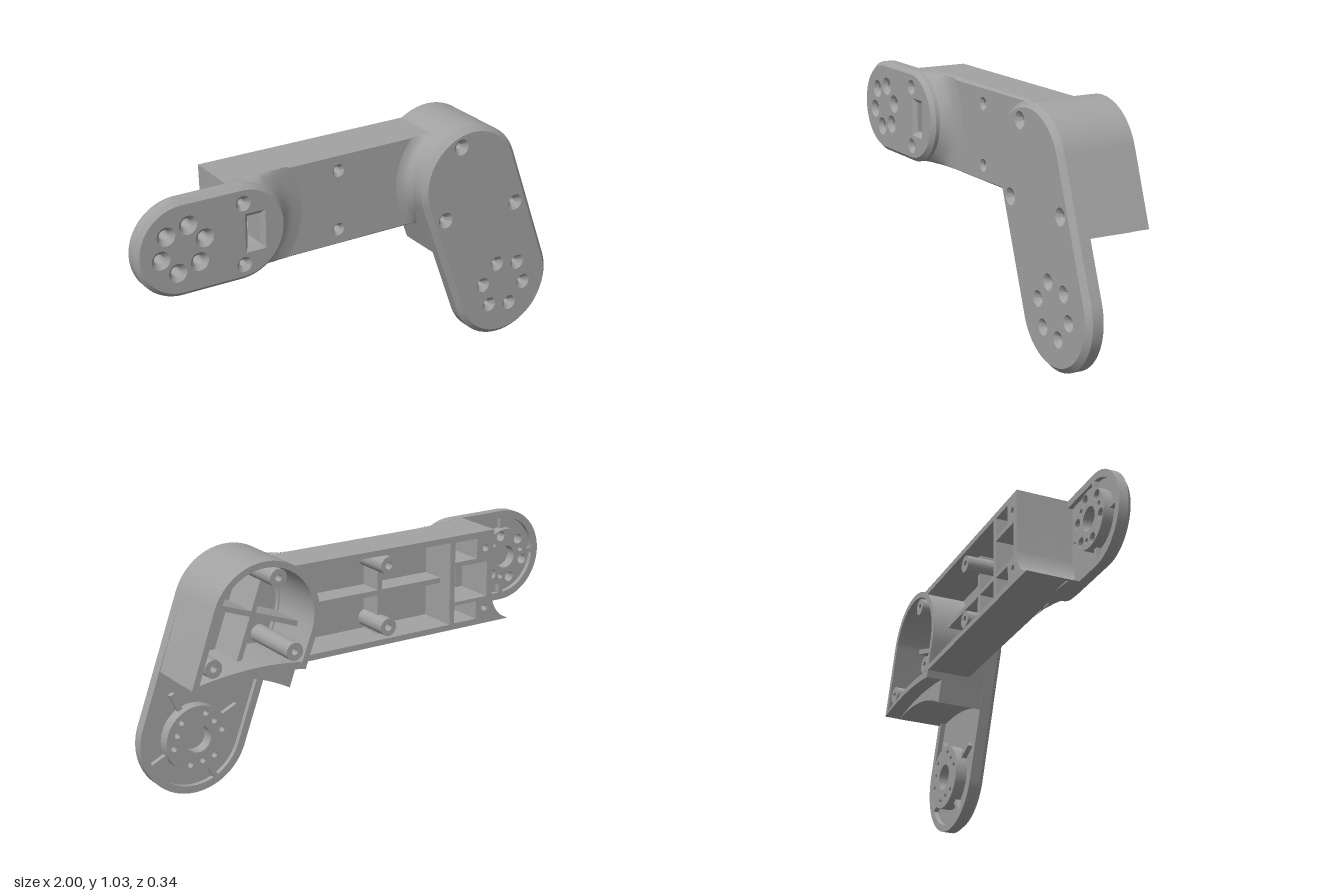
import * as THREE from 'three';
import { toCreasedNormals } from 'three/addons/utils/BufferGeometryUtils.js';

const grey = new THREE.MeshStandardMaterial({ color: 0xa2a2a2 });
grey.name = 'machined grey';

// Main joint centres and directions of the tilted link
const A = [0.555, 0.787], B = [0.75, 0.251], R = 0.247;
const n = [0.94, 0.342], d = [0.342, -0.94];
const L = [-0.795, 0.79], L2 = [-0.53, 0.79], RL = 0.205;

const circle = (x, y, r) => new THREE.Path().absarc(x, y, r, 0, Math.PI * 2, true);
const rect = (x0, y0, x1, y1) => new THREE.Path(
  [[x0, y0], [x0, y1], [x1, y1], [x1, y0]].map(p => new THREE.Vector2(...p)));
const ringOfHoles = (c, r, count, start, hole) => Array.from({ length: count }, (_, i) => {
  const a = (start + i * 360 / count) * Math.PI / 180;
  return [c[0] + r * Math.cos(a), c[1] + r * Math.sin(a), hole];
});

// Rounded slot outline between two centres
function stadium(p, q, r, Type = THREE.Shape) {
  const a = Math.atan2(q[1] - p[1], q[0] - p[0]);
  const s = new Type();
  s.absarc(q[0], q[1], r, a - Math.PI / 2, a + Math.PI / 2, false);
  s.absarc(p[0], p[1], r, a + Math.PI / 2, a + Math.PI * 1.5, false);
  s.closePath();
  return s;
}

function add(group, name, geometry) {
  const mesh = new THREE.Mesh(geometry, grey);
  mesh.name = name;
  group.add(mesh);
}

function slab(group, name, shape, z0, z1, holes = []) {
  shape.holes.push(...holes);
  const g = new THREE.ExtrudeGeometry(shape, { depth: z1 - z0, bevelEnabled: false, curveSegments: 28 });
  g.translate(0, 0, z0);
  add(group, name, toCreasedNormals(g, 0.5));
}

// Slab whose front edge and holes are chamfered by c
function chamferedSlab(group, name, makeShape, z0, z1, c, makeHoles) {
  slab(group, name, makeShape(), z0, z1 - c, makeHoles());
  const s = makeShape();
  s.holes.push(...makeHoles());
  const g = new THREE.ExtrudeGeometry(s, {
    depth: 0.002, bevelThickness: c, bevelSize: c, bevelOffset: -c, bevelSegments: 1, curveSegments: 28,
  });
  g.translate(0, 0, z1 - c - 0.002);
  add(group, name + 'Front', toCreasedNormals(g, 0.5));
}

function rib(group, name, p, q, z0, z1, w = 0.022) {
  const g = new THREE.BoxGeometry(Math.hypot(q[0] - p[0], q[1] - p[1]), w, z1 - z0);
  g.rotateZ(Math.atan2(q[1] - p[1], q[0] - p[0]));
  g.translate((p[0] + q[0]) / 2, (p[1] + q[1]) / 2, (z0 + z1) / 2);
  add(group, name, g);
}

function boss(group, p, z0, z1) {
  slab(group, 'screwBoss', new THREE.Shape().absarc(p[0], p[1], 0.038, 0, Math.PI * 2, false), z0, z1,
    [circle(p[0], p[1], p[2])]);
}

// Rim, pocket ribs and drilled hub on the back of a pad
function padBack(group, p, q, r, hub, hubR, z0, hubZ, floor, bolts, pins, startAngle, ribR) {
  slab(group, 'padRim', stadium(p, q, r), z0, floor + 0.002, [stadium(p, q, r - 0.032, THREE.Path)]);
  const disc = new THREE.Shape().absarc(hub[0], hub[1], hubR, 0, Math.PI * 2, false);
  slab(group, 'hubDisc', disc, hubZ, floor + 0.002,
    [circle(hub[0], hub[1], hubR * 0.4), ...bolts.concat(pins).map(h => circle(...h))]);
  for (let i = 0; i < 4; i++) {
    const a = (startAngle + i * 90) * Math.PI / 180, u = [Math.cos(a), Math.sin(a)];
    rib(group, 'padRib', hub.map((v, k) => v + u[k] * hubR * 0.96), hub.map((v, k) => v + u[k] * ribR),
      z0, floor + 0.002);
  }
}

// Blend between a pad and the arm face, trimmed to the arm's height
function blend(group, name, c, profile, phi) {
  const g = new THREE.LatheGeometry(profile.map(p => new THREE.Vector2(...p)), 40, phi, Math.PI);
  g.rotateX(Math.PI / 2).translate(c[0], c[1], 0);
  const pos = g.attributes.position;
  for (let i = 0; i < pos.count; i++) pos.setY(i, THREE.MathUtils.clamp(pos.getY(i), 0.588, 0.992));
  g.computeVertexNormals();
  add(group, name, g);
}

// Hollowed edge of the arm next to the small pad
function armEnd() {
  const s = new THREE.Shape();
  s.moveTo(-0.57, 0.995);
  s.lineTo(-0.563, 0.72);
  s.quadraticCurveTo(-0.567, 0.62, -0.655, 0.585);
  return s;
}

function armOutline() {
  const s = armEnd();
  [[0.375, 0.585], [0.34, 0.69], [0.322, 0.79], [0.35, 0.89], [0.42, 0.995]].forEach(p => s.lineTo(...p));
  return s;
}

// Upper housing outline, inset by t
function housing(t, Type = THREE.Shape) {
  const s = new Type(), a = Math.atan2(n[1], n[0]);
  const at = (x, y, k) => [x + (-k * n[0] - d[0]) * t, y + (-k * n[1] - d[1]) * t];
  s.moveTo(...at(0.895, 0.565, 1));
  s.absarc(A[0], A[1], R - t, a, a + Math.PI, false);
  const p = at(0.378, 0.555, -1);
  s.lineTo(...p);
  s.quadraticCurveTo(...at(0.63, 0.6, 0), ...at(0.895, 0.565, 1));
  return s;
}

export function createModel() {
  const model = new THREE.Group();
  model.name = 'jointLink';
  const part = name => {
    const g = new THREE.Group();
    g.name = name;
    model.add(g);
    return g;
  };
  const armScrews = [[-0.525, 0.92, 0.015], [-0.525, 0.655, 0.015], [-0.03, 0.92, 0.016], [-0.03, 0.655, 0.016]];
  const endScrews = armScrews.slice(0, 2), midScrews = armScrews.slice(2);
  const slot = () => rect(-0.5, 0.722, -0.443, 0.855);
  const paths = list => list.map(h => circle(...h));

  // Small pad
  const small = part('smallPad');
  const smallBolts = ringOfHoles(L, 0.1, 6, 15, 0.022);
  chamferedSlab(small, 'padPlate', () => stadium(L, L2, RL), 0.08, 0.12, 0.018,
    () => [...paths([...smallBolts, ...endScrews]), slot()]);
  padBack(small, L, L2, RL, L, 0.127, 0.06, 0.035, 0.08, smallBolts,
    ringOfHoles(L, 0.09, 3, 45, 0.012), 0, 0.185);

  // Arm
  const arm = part('arm');
  chamferedSlab(arm, 'armFace', armOutline, 0.005, 0.035, 0.012, () => [...paths(armScrews), slot()]);
  const seat = armEnd();
  seat.lineTo(L2[0], 0.585);
  seat.absarc(L2[0], L2[1], RL - 0.001, -Math.PI / 2, Math.PI / 2, false);
  slab(arm, 'padSeat', seat, 0.02, 0.085, [...paths(endScrews), slot()]);
  const endBlock = armEnd();
  endBlock.lineTo(-0.34, 0.585);
  endBlock.lineTo(-0.34, 0.995);
  slab(arm, 'endBlock', endBlock, -0.17, 0.01, [...paths(endScrews),
    rect(-0.48, 0.88, -0.365, 0.968), rect(-0.535, 0.705, -0.365, 0.86), rect(-0.48, 0.612, -0.365, 0.69)]);
  rib(arm, 'topWall', [-0.36, 0.9825], [0.42, 0.9825], -0.17, 0.01, 0.025);
  rib(arm, 'bottomWall', [-0.36, 0.5975], [0.375, 0.5975], -0.17, 0.01, 0.025);
  rib(arm, 'centreRib', [-0.345, 0.79], [0.325, 0.79], -0.1, 0.01);
  rib(arm, 'crossRib', [-0.03, 0.692], [-0.03, 0.883], -0.1, 0.01);
  for (const p of midScrews) {
    boss(arm, p, -0.165, 0.01);
    const up = p[1] > 0.79 ? 1 : -1;
    rib(arm, 'bossRib', [-0.03, p[1] + up * 0.036], [-0.03, 0.79 + up * 0.195], -0.1, 0.01);
  }
  blend(arm, 'smallPadBlend', L2, [[0.33, 0.0345], [0.275, 0.039], [0.235, 0.052], [0.204, 0.085]], 0);
  blend(arm, 'housingBlend', A, [[0.3, 0.0345], [0.275, 0.04], [0.257, 0.055], [0.246, 0.09]], Math.PI);

  // Large tilted pad
  const large = part('largePad');
  const largeBolts = ringOfHoles(B, 0.113, 6, 50, 0.012);
  const housingScrews = [[0.495, 0.955, 0.014], [0.425, 0.635, 0.014], [0.795, 0.635, 0.014]];
  chamferedSlab(large, 'padPlate', () => stadium(A, B, R), 0.122, 0.17, 0.022,
    () => paths([...largeBolts, ...housingScrews]));
  padBack(large, A, B, R, B, 0.145, 0.1, 0.07, 0.122, largeBolts,
    ringOfHoles(B, 0.1, 3, 20, 0.012), -25, 0.225);

  // Housing open at the back
  const shell = part('housing');
  slab(shell, 'housingWall', housing(0), -0.17, 0.124, [housing(0.026, THREE.Path)]);
  const skirt = new THREE.Shape();
  skirt.moveTo(0.378, 0.555);
  skirt.lineTo(0.4126, 0.46);
  skirt.quadraticCurveTo(0.63, 0.585, 0.893, 0.563);
  skirt.quadraticCurveTo(0.63, 0.61, 0.378, 0.555);
  slab(shell, 'clearanceSkirt', skirt, -0.1, 0.124);
  for (const p of housingScrews) boss(shell, p, -0.165, 0.124);
  const along = (u, t) => [A[0] + u[0] * t, A[1] + u[1] * t];
  rib(shell, 'housingCrossRib', along(n, -0.23), along(n, 0.23), -0.06, 0.124);
  rib(shell, 'housingLongRib', along(d, -0.23), along(d, 0.225), -0.06, 0.124);
  return model;
}
